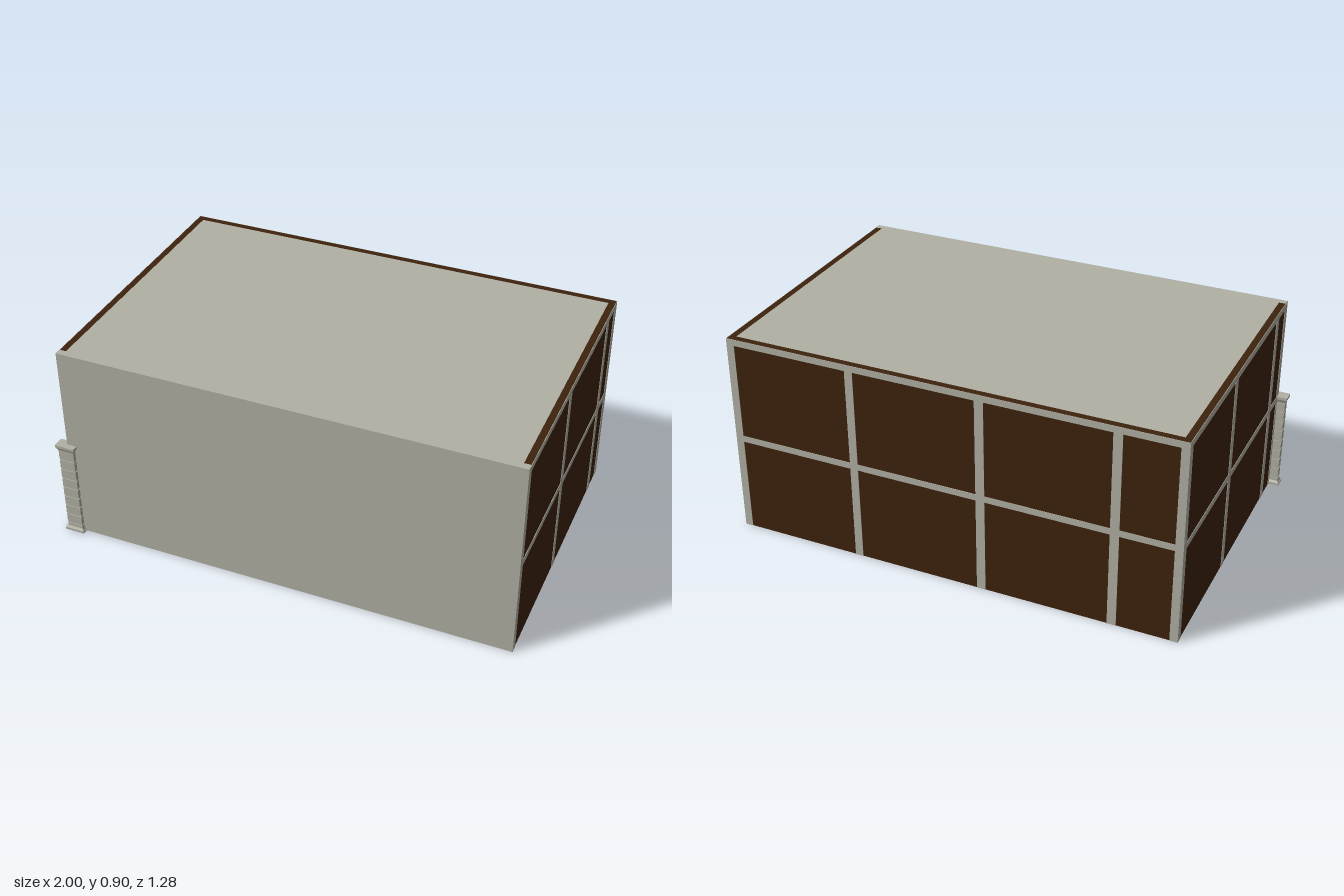
import * as THREE from 'three';

const X0 = -0.955, X1 = 1, Z = 0.617, H = 0.896, T = 0.03, P = 0.002;

export function createModel() {
  const root = new THREE.Group();
  root.name = 'building';
  const plaster = new THREE.MeshStandardMaterial({ color: 0xb0b0a3 });
  plaster.name = 'grey plaster';
  const panel = new THREE.MeshStandardMaterial({ color: 0x3d220e });
  panel.name = 'dark brown panel';

  // Box given by its minimum and maximum corners
  function box(name, mat, x0, x1, y0, y1, z0, z1, parent = root) {
    const mesh = new THREE.Mesh(new THREE.BoxGeometry(x1 - x0, y1 - y0, z1 - z0), mat);
    mesh.position.set((x0 + x1) / 2, (y0 + y1) / 2, (z0 + z1) / 2);
    mesh.name = name;
    parent.add(mesh);
    return mesh;
  }

  // Shell: plain front wall, brown walls on the other sides, roof slab between them
  const zb = -0.642;
  box('frontWall', plaster, X0, X1, 0, H, Z - T, Z);
  box('rightWall', panel, X0 + P, X0 + T, 0, H, zb + T, Z - T);
  box('leftWall', panel, X1 - T, X1 - P, 0, H, zb + T, Z - T);
  box('backWall', panel, X0 + P, X1 - P, 0, H, zb + P, zb + T);
  box('roof', plaster, X0 + T, X1 - T, H - 0.028, H, zb + T, Z - T);

  // Grid of thin battens over a wall of the given length.
  // Local x runs along the wall from its first corner, local z points outwards.
  function battens(name, length, px, pz, angle) {
    const g = new THREE.Group();
    g.name = name;
    const posts = [[0, 0.034], [0.541, 0.576], [1.101, 1.139], [1.662, 1.70]]
      .filter(([a]) => a < length - 0.1);
    posts.push([length - 0.034, length]);
    for (const [a, b] of posts) box('post', plaster, a, b, 0, H - 0.028, 0, P, g);
    box('topRail', plaster, 0, length, H - 0.028, H, 0, P, g);
    // Middle rail runs between the posts
    for (let i = 0; i + 1 < posts.length; i++) {
      box('middleRail', plaster, posts[i][1], posts[i + 1][0], 0.42, 0.448, 0, P, g);
    }
    g.position.set(px, 0, pz);
    g.rotation.y = angle;
    root.add(g);
  }
  battens('leftBattens', Z - zb, X1 - P, Z, Math.PI / 2);
  battens('backBattens', X1 - X0, X1, zb + P, Math.PI);
  battens('rightBattens', Z - zb, X0 + P, zb, -Math.PI / 2);

  // Corner pilaster: stacked blocks with grooves, moulded base and cap
  const pilaster = new THREE.Group();
  pilaster.name = 'cornerPilaster';
  pilaster.position.set(-0.956, 0, Z);
  root.add(pilaster);

  // Slab whose inset from the widest outline may differ at bottom and top
  function slab(name, y0, y1, in0, in1 = in0) {
    const geo = new THREE.BoxGeometry(1, 1, 1);
    const pos = geo.attributes.position;
    for (let i = 0; i < pos.count; i++) {
      const top = pos.getY(i) > 0, inset = top ? in1 : in0;
      pos.setXYZ(i, Math.sign(pos.getX(i)) * (0.044 - inset), top ? y1 : y0,
        Math.sign(pos.getZ(i)) * (0.025 - inset));
    }
    geo.computeVertexNormals();
    const mesh = new THREE.Mesh(geo, plaster);
    mesh.name = name;
    pilaster.add(mesh);
  }
  slab('core', 0.01, 0.435, 0.012);
  slab('base', 0, 0.01, 0);
  slab('baseMoulding', 0.01, 0.018, 0.003, 0.008);
  for (let i = 0; i < 9; i++) {
    const y = Math.max(0.018, -0.01 + i * 0.048);
    slab('block', y, 0.032 + i * 0.048, 0.009);
  }
  slab('capMoulding', 0.418, 0.435, 0.009, 0.002);
  slab('cap', 0.435, 0.447, 0);

  return root;
}
